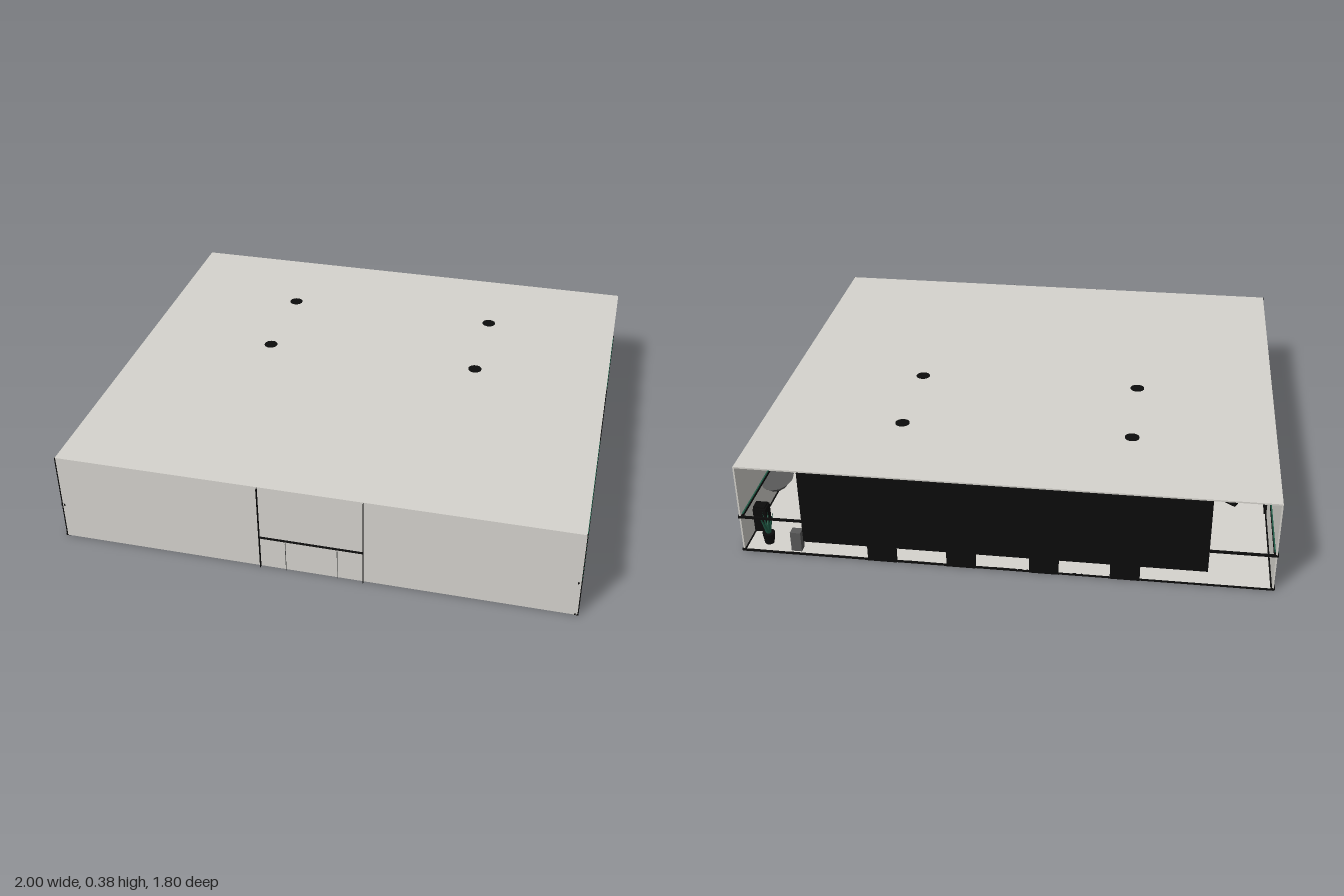
import * as THREE from 'three';

const mat = (name, color, side = THREE.FrontSide) => {
  const m = new THREE.MeshStandardMaterial({ color, side });
  m.name = name;
  return m;
};

export function createModel() {
  const root = new THREE.Group();
  root.name = 'room';
  const wall = mat('pale plaster', 0xd6d4ce);
  const black = mat('black', 0x0c0c0c);
  const grey = mat('dark grey', 0x5a5a5a);
  const green = mat('dark green', 0x1f5a45, THREE.DoubleSide);

  const add = (name, geo, m, x = 0, y = 0, z = 0, parent = root) => {
    const mesh = new THREE.Mesh(geo, m);
    mesh.name = name;
    mesh.position.set(x, y, z);
    parent.add(mesh);
    return mesh;
  };
  // Box given by its lower and upper corners
  const box = (name, m, x0, y0, z0, x1, y1, z1, parent = root) =>
    add(name, new THREE.BoxGeometry(x1 - x0, y1 - y0, z1 - z0), m,
      (x0 + x1) / 2, (y0 + y1) / 2, (z0 + z1) / 2, parent);

  // Shell: floor, ceiling, side walls and front; the back is open
  box('floor', wall, -0.995, 0.002, -0.895, 0.995, 0.008, 0.893);
  box('ceiling', wall, -0.995, 0.368, -0.895, 0.995, 0.374, 0.893);
  for (const s of [-1, 1]) {
    const side = new THREE.Group();
    side.name = s > 0 ? 'leftSide' : 'rightSide';
    root.add(side);
    const sideBox = (name, m, a, y0, z0, b, y1, z1) =>
      box(name, m, Math.min(s * a, s * b), y0, z0, Math.max(s * a, s * b), y1, z1, side);
    sideBox('sideWall', wall, 0.99, 0.004, -0.895, 0.996, 0.372, 0.893);
    sideBox('baseRail', black, 0.984, 0, -0.896, 1, 0.01, 0.893);
    sideBox('wallRail', black, 0.984, 0.147, -0.896, 1, 0.157, 0.893);
    sideBox('greenTrimFront', green, 0.985, 0.157, 0, 0.999, 0.16, 0.88);
    sideBox('greenTrimBack', green, 0.985, 0.157, -0.88, 0.999, 0.16, -0.42);
    sideBox('panelJoint', grey, 0.986, 0.01, 0.197, 0.998, 0.147, 0.203);
    sideBox('cornerEdge', black, 0.993, 0, 0.889, 0.998, 0.374, 0.893);
  }
  box('frontWall', wall, -0.996, 0.002, 0.885, 0.996, 0.374, 0.893);

  // Entrance: narrow fins around the doorway
  for (const s of [-1, 1]) {
    box('doorwayFin', black, s * 0.2 - 0.001, 0, 0.893, s * 0.2 + 0.001, 0.372, 0.905);
    box('doorFin', grey, s * 0.1 - 0.0005, 0, 0.893, s * 0.1 + 0.0005, 0.13, 0.898);
  }
  box('doorwayLintel', black, -0.2, 0.141, 0.893, 0.2, 0.143, 0.903);

  // Open back: rails and the big hanging screen on four feet
  box('backBaseRail', black, -0.996, 0, -0.897, 0.996, 0.008, -0.89);
  for (const s of [-1, 1]) {
    const a = s * 0.75, b = s * 0.996;
    box('backRail', black, Math.min(a, b), 0.148, -0.897, Math.max(a, b), 0.157, -0.89);
  }
  box('backScreen', black, -0.755, 0.065, -0.9, 0.755, 0.368, -0.885);
  for (const x of [-0.455, -0.155, 0.155, 0.455])
    box('screenFoot', black, x - 0.055, 0, -0.899, x + 0.055, 0.066, -0.887);

  // Columns reaching through floor and ceiling
  for (const x of [-0.447, 0.447]) for (const z of [-0.5, -0.1])
    add('column', new THREE.CylinderGeometry(0.028, 0.028, 0.376, 20), black, x, 0.188, z);

  // Back panel and curved counter on the right wall
  box('counterPanel', black, -1, 0.006, -0.41, -0.98, 0.25, -0.02);
  const arc = new THREE.Shape();
  arc.absarc(0, 0, 0.2, -1.05, 1.05, false);
  arc.absarc(0, 0, 0.172, 1.05, -1.05, true);
  const counterGeo = new THREE.ExtrudeGeometry(arc, { depth: 0.11, bevelEnabled: false, curveSegments: 20 });
  counterGeo.rotateX(-Math.PI / 2);
  add('curvedCounter', counterGeo, black, -0.966, 0, -0.2);

  // Bowl and narrow cabinet showing through the left wall
  const bowl = add('wallBowl', new THREE.CylinderGeometry(0.09, 0.058, 0.026, 12), grey, 0.94, 0.133, -0.605);
  bowl.scale.x = 0.68;
  box('narrowCabinet', black, 0.94, 0.005, -0.775, 1, 0.108, -0.72);
  box('cabinetTop', black, 0.945, 0.108, -0.768, 0.999, 0.115, -0.727);

  // Dining sets: a table with a chair on either side
  for (const z of [-0.4, -0.147]) {
    const set = new THREE.Group();
    set.name = 'diningSet';
    set.position.set(0.7, 0, z);
    root.add(set);
    box('tableBase', black, -0.03, 0, -0.03, 0.03, 0.012, 0.03, set);
    box('tableStem', black, -0.008, 0.01, -0.008, 0.008, 0.09, 0.008, set);
    box('tableTop', grey, -0.065, 0.09, -0.065, 0.065, 0.098, 0.065, set);
    for (const s of [-1, 1]) {
      box('chairFoot', black, s * 0.1 - 0.008, 0, -0.02, s * 0.1 + 0.008, 0.05, 0.02, set);
      box('chairSeat', grey, s * 0.1 - 0.025, 0.05, -0.025, s * 0.1 + 0.025, 0.06, 0.025, set);
      box('chairBack', grey, s * 0.125 - 0.004, 0.05, -0.025, s * 0.125 + 0.004, 0.11, 0.025, set);
    }
  }

  // Low benches near the entrance
  for (const [x, z, w] of [[0.307, 0.43, 0.06], [-0.475, 0.338, 0.045]]) {
    box('benchBase', black, x - w, 0, z - 0.012, x + w, 0.04, z + 0.012);
    box('benchSeat', grey, x - w - 0.02, 0.04, z - 0.035, x + w + 0.02, 0.055, z + 0.035);
  }

  // Potted plant and stool in the back corner
  const plant = new THREE.Group();
  plant.name = 'plant';
  plant.position.set(0.91, 0.008, -0.84);
  root.add(plant);
  add('pot', new THREE.CylinderGeometry(0.024, 0.018, 0.045, 12), black, 0, 0.0225, 0, plant);
  for (let i = 0; i < 7; i++) {
    const leaf = new THREE.ConeGeometry(0.009, 0.09, 4);
    leaf.translate(0, 0.045, 0);
    const m = add('leaf', leaf, green, 0, 0.04, 0, plant);
    m.rotation.set(0, i * 0.9, 0.25 + 0.08 * (i % 3));
  }
  box('stool', grey, 0.77, 0.002, -0.885, 0.81, 0.09, -0.85);

  return root;
}
